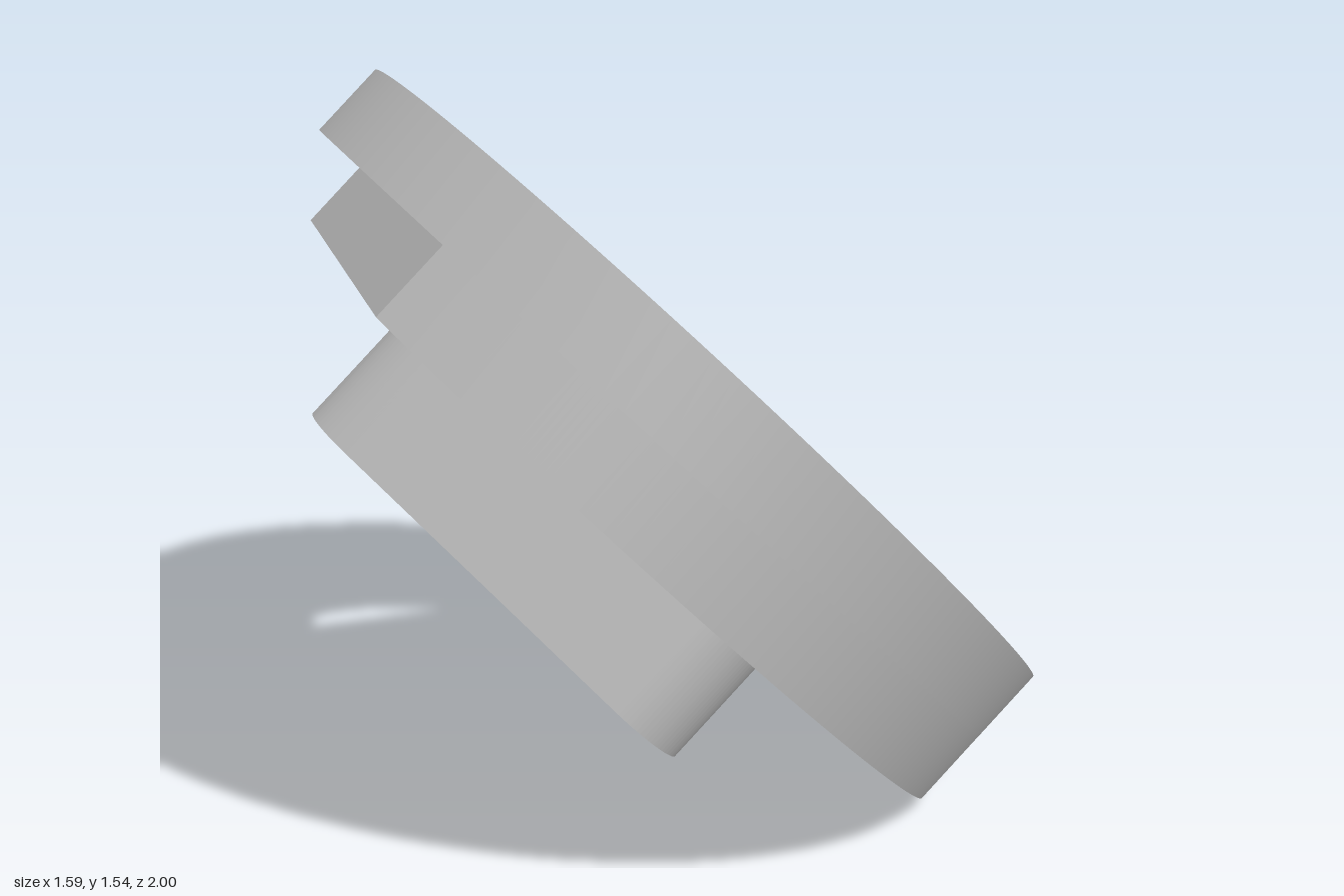
import * as THREE from 'three';
import { toCreasedNormals } from 'three/addons/utils/BufferGeometryUtils.js';

const LAYER = 0.178;        // thickness of each ring layer
const TRI_DEPTH = 0.288;    // thickness of the rounded triangle
const HOLE = 0.446;

export function createModel() {
  const grey = new THREE.MeshStandardMaterial({ color: 0xbcbcbc });
  grey.name = 'grey';

  const model = new THREE.Group();
  model.name = 'flangedRing';

  // Tilted frame: local z is the ring axis, local x runs down the slope
  const tilted = new THREE.Group();
  tilted.name = 'tiltedBody';
  const s = Math.SQRT1_2;
  tilted.quaternion.setFromRotationMatrix(new THREE.Matrix4().makeBasis(
    new THREE.Vector3(s, -s, 0), new THREE.Vector3(0, 0, -1), new THREE.Vector3(s, s, 0)));
  tilted.position.set(0.086, 0.835, 0);
  model.add(tilted);

  // Extrude a flat shape so that its underside sits at z = bottom
  const addPlate = (name, shape, depth, bottom) => {
    const geometry = toCreasedNormals(new THREE.ExtrudeGeometry(shape,
      { depth, bevelEnabled: false, curveSegments: 64 }), 0.5);
    const mesh = new THREE.Mesh(geometry, grey);
    mesh.name = name;
    mesh.position.z = bottom;
    tilted.add(mesh);
  };
  const withHole = (shape) => {
    shape.holes.push(new THREE.Path().absarc(0, 0, HOLE, 0, Math.PI * 2, true));
    return shape;
  };

  // Full round upper layer
  const round = new THREE.Shape().absarc(0, 0, 1, 0, Math.PI * 2, false);
  addPlate('upperRing', withHole(round), LAYER, -LAYER);

  // Lower layer with two opposite flats
  const a = Math.acos(0.793);
  const flatted = new THREE.Shape();
  flatted.absarc(0, 0, 1, a, Math.PI - a, false);
  flatted.absarc(0, 0, 1, Math.PI + a, Math.PI * 2 - a, false);
  flatted.closePath();
  addPlate('flattedRing', withHole(flatted), LAYER, -2 * LAYER);

  // Rounded triangle under the ring, one corner pointing up the slope
  const triangle = new THREE.Shape();
  for (let i = 0; i < 3; i++) {
    const t = Math.PI + (i * Math.PI * 2) / 3;
    triangle.absarc(0.455 * Math.cos(t), 0.455 * Math.sin(t), 0.15,
      t - Math.PI / 3, t + Math.PI / 3, false);
  }
  triangle.closePath();
  addPlate('roundedTriangle', triangle, TRI_DEPTH, -2 * LAYER - TRI_DEPTH);

  return model;
}
